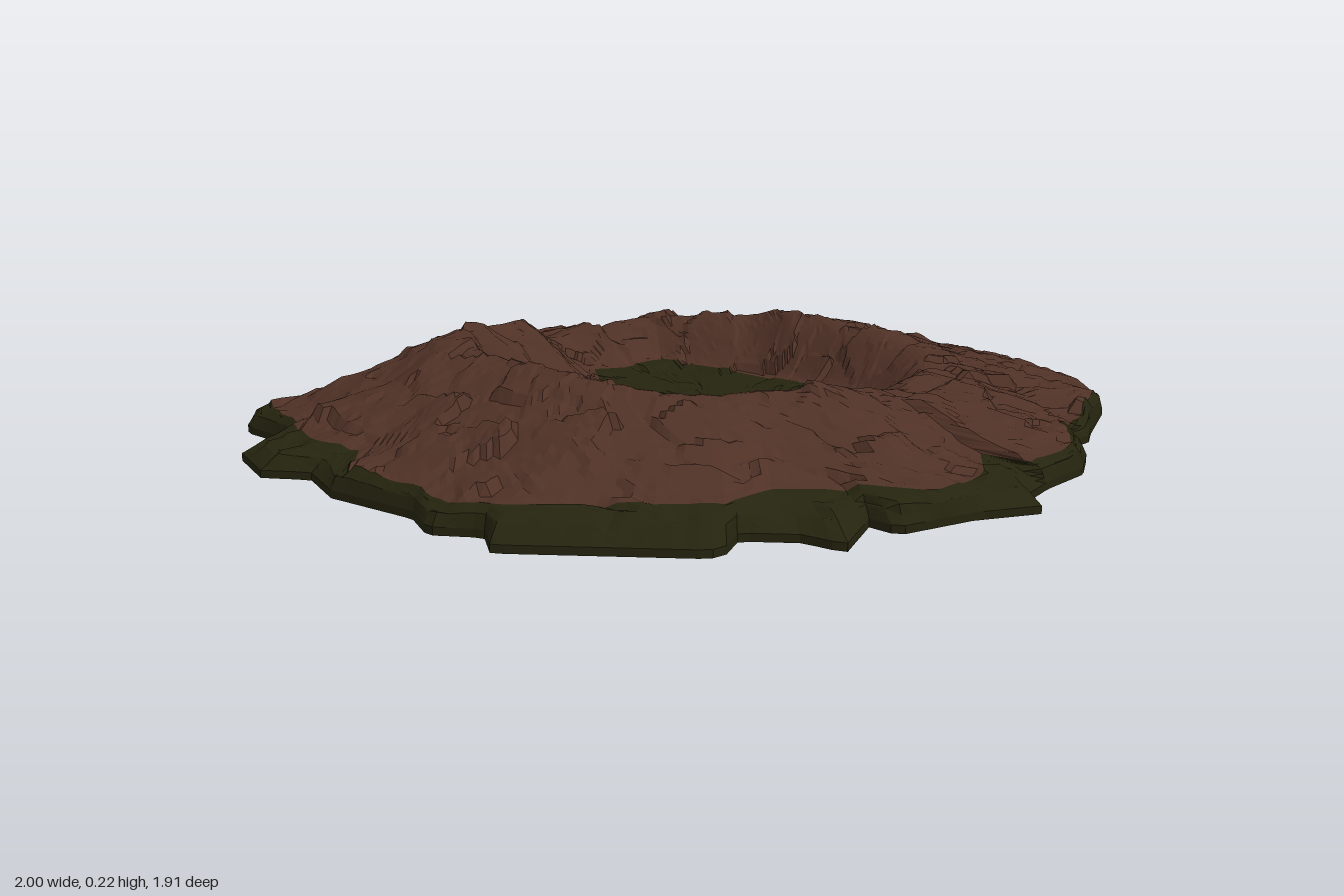
import * as THREE from 'three';

// Ground-plan loops as x, z pairs
const OUTLINE = [.88, 0, .9, .03, .85, .1, .88, .17, .85, .24, .87, .32, .81, .45, .74, .55, .56, .65, .5, .69, .41, .7, .37, .78,
  .28, .84, .14, .86, .04, .89, 0, .955, -.13, .9, -.3, .87, -.3, .8, -.44, .88, -.46, .79, -.54, .71, -.6, .75, -.64, .75,
  -.91, .48, -.87, .4, -.94, .32, -.91, .22, -.96, 0, -.93, -.14, -1, -.22, -.97, -.37, -.84, -.42, -.86, -.58, -.82, -.63,
  -.64, -.65, -.58, -.7, -.53, -.7, -.51, -.64, -.38, -.64, -.31, -.7, -.21, -.66, -.1, -.8, .03, -.91, .15, -.92, .23, -.96,
  .36, -.93, .4, -.88, .56, -.83, .57, -.74, .53, -.71, .69, -.76, .77, -.64, .8, -.53, .8, -.4, .95, -.37, 1, -.21, .9, -.13];
const SOIL_EDGE = [.88, 0, .86, .2, .84, .38, .74, .53, .55, .64, .42, .68, .27, .82, .12, .83, .1, .72, -.02, .83, -.2, .87,
  -.3, .74, -.41, .66, -.55, .68, -.72, .52, -.88, .38, -.9, .2, -.92, 0, -.84, -.1, -.88, -.2, -.85, -.35, -.8, -.58,
  -.5, -.62, -.25, -.6, -.2, -.62, -.1, -.79, .03, -.9, .16, -.91, .17, -.7, .3, -.7, .4, -.76, .45, -.7, .52, -.55,
  .65, -.45, .7, -.23, .9, -.2, .88, -.1];
const PIT_EDGE = [.3, 0, .27, .15, .22, .27, .12, .28, 0, .29, -.1, .3, -.28, .22, -.34, .08, -.4, -.05, -.39, -.22,
  -.3, -.25, -.1, -.28, -.02, -.4, .02, -.47, .1, -.44, .22, -.44, .25, -.35, .3, -.15];
// Crest of the rim: angle in degrees, radius, height
const CREST = [[0, .45, .165], [45, .5, .145], [80, .48, .15], [110, .5, .185], [150, .52, .19], [185, .5, .2], [225, .56, .21],
  [245, .5, .19], [262, .55, .12], [270, .62, .1], [290, .6, .14], [320, .55, .155], [340, .47, .175], [360, .45, .165]];

const N = 260; // steps around
const hash = (a, b, k) => {
  const s = Math.sin(a * 127.1 + b * 311.7 + k * 74.7) * 43758.5453;
  return s - Math.floor(s);
};
const smooth = t => t * t * (3 - 2 * t);

// Distance from the centre to a loop along one direction
function reach(loop, a) {
  const dx = Math.cos(a), dz = Math.sin(a);
  let best = 0;
  for (let i = 0; i < loop.length; i += 2) {
    const j = (i + 2) % loop.length;
    const px = loop[i], pz = loop[i + 1], ex = loop[j] - px, ez = loop[j + 1] - pz;
    const den = dx * ez - dz * ex;
    if (Math.abs(den) < 1e-9) continue;
    const r = (px * ez - pz * ex) / den, t = (px * dz - pz * dx) / den;
    if (t >= -1e-6 && t <= 1 + 1e-6 && r > best) best = r;
  }
  return best;
}

function crest(a) {
  const d = a * 180 / Math.PI;
  const i = Math.max(1, CREST.findIndex(c => c[0] >= d));
  const p = CREST[i - 1], q = CREST[i], t = smooth((d - p[0]) / (q[0] - p[0]));
  return [p[1] + (q[1] - p[1]) * t, p[2] + (q[2] - p[2]) * t];
}

// Broken clods: each irregular cell is a small tilted plane
function clods(x, z, size) {
  const cx = Math.floor(x / size), cz = Math.floor(z / size);
  let best = 9, out = 0;
  for (let i = cx - 1; i <= cx + 1; i++) for (let j = cz - 1; j <= cz + 1; j++) {
    const u = x / size - i - hash(i, j, 1), v = z / size - j - hash(i, j, 2), d = u * u + v * v;
    if (d < best) {
      best = d;
      out = (hash(i, j, 3) - .5) * u + (hash(i, j, 4) - .5) * v + (hash(i, j, 5) - .5) * .5;
    }
  }
  return out;
}

// Profile nodes [radius, height] from pit centre, over the rim and under to the centre
function section(a) {
  const out = reach(OUTLINE, a), edge = Math.min(reach(SOIL_EDGE, a), out * .975), pit = reach(PIT_EDGE, a);
  const [cr, ch] = crest(a);
  return [[0, .03], [pit, .04], [cr, ch], [edge, .058], [edge + (out - edge) * .7, .042], [out, .016], [out, 0], [0, 0]];
}

const sections = Array.from({ length: N }, (_, i) => section(i / N * Math.PI * 2));

// Surface swept round between two profile nodes
function band(name, from, steps, material, ease = t => t) {
  const pos = [], index = [];
  for (let j = 0; j <= steps; j++) for (let i = 0; i < N; i++) {
    const [r0, y0] = sections[i][from], [r1, y1] = sections[i][from + 1];
    const t = j / steps, a = i / N * Math.PI * 2;
    const r = r0 + (r1 - r0) * t, x = r * Math.cos(a), z = r * Math.sin(a);
    let y = y0 + (y1 - y0) * ease(t);
    const rough = THREE.MathUtils.clamp((y - .016) / .05, 0, 1);
    y += rough * (clods(x, z, .13) * .035 + clods(x + 3, z + 5, .06) * .012);
    pos.push(x, y, z);
  }
  for (let j = 0; j < steps; j++) for (let i = 0; i < N; i++) {
    const k = (i + 1) % N, a = j * N + i, b = j * N + k;
    index.push(a, b, a + N, b, b + N, a + N);
  }
  const g = new THREE.BufferGeometry();
  g.setAttribute('position', new THREE.Float32BufferAttribute(pos, 3));
  g.setIndex(index);
  g.computeVertexNormals();
  const mesh = new THREE.Mesh(g, material);
  mesh.name = name;
  return mesh;
}

// Low lump of earth lying on the pit floor
function lump(name, material, x, z, w, h, d) {
  const g = new THREE.IcosahedronGeometry(1, 2);
  const p = g.attributes.position;
  for (let i = 0; i < p.count; i++) {
    const f = 1 + clods(p.getX(i) + p.getY(i), p.getZ(i), .7) * .3;
    p.setXYZ(i, p.getX(i) * f, Math.max(0, p.getY(i) * f), p.getZ(i) * f);
  }
  g.computeVertexNormals();
  const mesh = new THREE.Mesh(g, material);
  mesh.name = name;
  mesh.scale.set(w, h, d);
  mesh.position.set(x, .025, z);
  return mesh;
}

export function createModel() {
  const soil = new THREE.MeshStandardMaterial({ color: 0x4f3126, flatShading: true });
  soil.name = 'brown soil';
  const moss = new THREE.MeshStandardMaterial({ color: 0x25240f, flatShading: true });
  moss.name = 'dark moss';

  const model = new THREE.Group();
  model.name = 'crater';
  model.add(
    band('pitFloor', 0, 12, moss),
    band('innerWall', 1, 14, soil, smooth),
    band('outerSlope', 2, 22, soil, t => .6 * t + .4 * smooth(t)),
    band('mossFringe', 3, 6, moss),
    band('mossLip', 4, 3, moss),
    band('baseEdge', 5, 1, moss),
    band('underside', 6, 1, moss),
    lump('soilTongue', soil, .085, .18, .06, .03, .13),
    lump('mossLump', moss, -.17, .13, .11, .03, .11)
  );
  return model;
}
